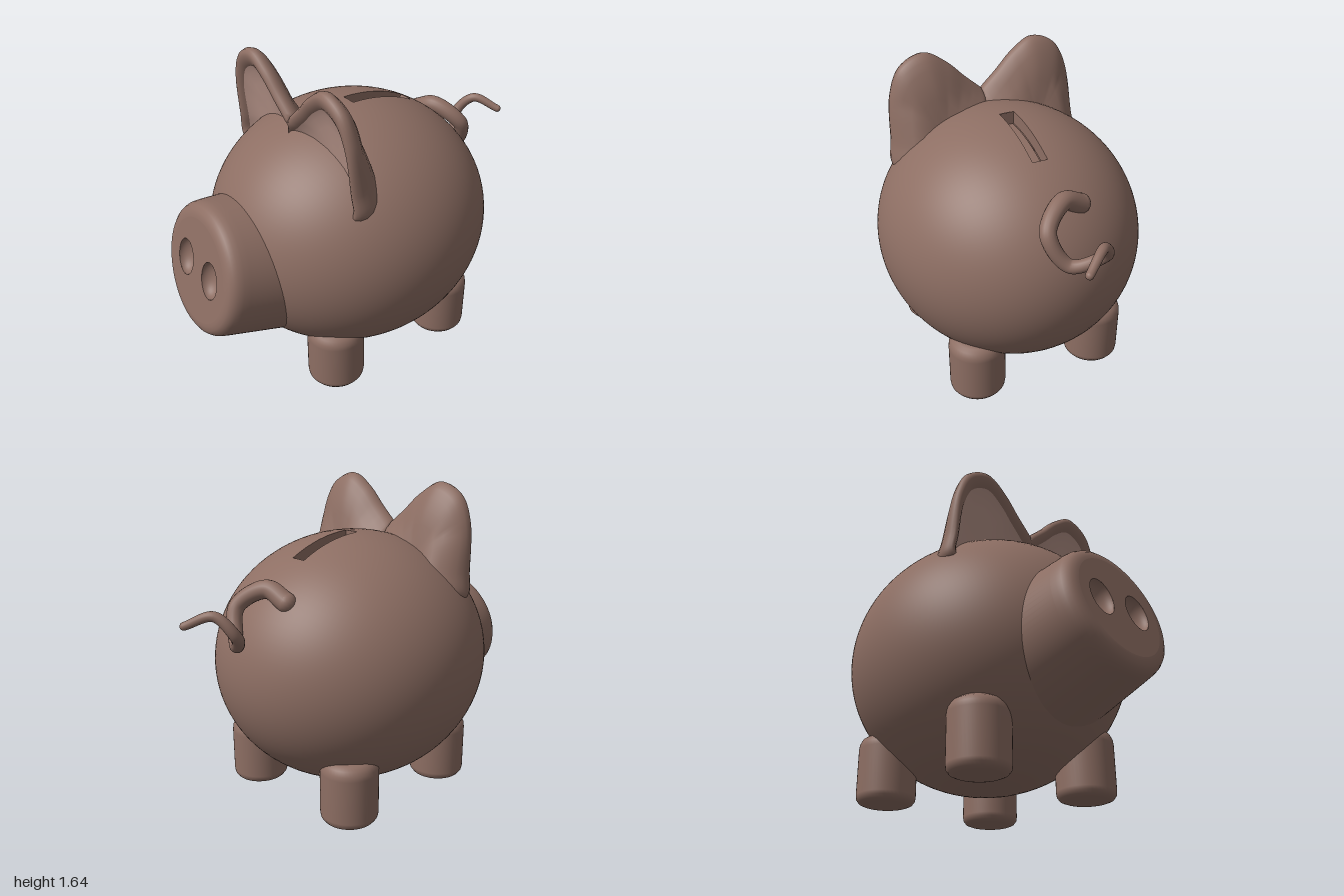
import * as THREE from 'three';

const V3 = (x, y, z) => new THREE.Vector3(x, y, z);
const profile = (pairs) => pairs.map(([x, y]) => new THREE.Vector2(x, y));

// Surface through rows of points, optionally closed along each row
function skinRows(rows, closed) {
  const n = rows[0].length, pos = [], idx = [];
  rows.forEach((row) => row.forEach((p) => pos.push(p.x, p.y, p.z)));
  for (let i = 0; i < rows.length - 1; i++) {
    for (let j = 0; j < (closed ? n : n - 1); j++) {
      const k = (j + 1) % n;
      const a = i * n + j, b = a + n, c = i * n + k, d = c + n;
      idx.push(a, c, b, b, c, d);
    }
  }
  const g = new THREE.BufferGeometry();
  g.setAttribute('position', new THREE.Float32BufferAttribute(pos, 3));
  g.setIndex(idx);
  g.computeVertexNormals();
  return g;
}

export function createModel() {
  const model = new THREE.Group();
  const skin = new THREE.MeshStandardMaterial({ color: 0x8d6e63, side: THREE.DoubleSide });
  skin.name = 'brown skin';
  const pink = new THREE.MeshStandardMaterial({ color: 0xb8958a, side: THREE.DoubleSide });
  pink.name = 'inner ear pink';

  const add = (parent, name, geometry, material = skin) => {
    const mesh = new THREE.Mesh(geometry, material);
    mesh.name = name;
    parent.add(mesh);
    return mesh;
  };
  const group = (name, parent = model) => {
    const g = new THREE.Group();
    g.name = name;
    parent.add(g);
    return g;
  };

  // Body: ellipsoid with its poles on x, leaving an opening for the coin slot
  const R = V3(0.7, 0.67, 0.76), C = V3(0, 0.72, 0.03);
  const slotHalf = Math.asin(0.04 / 0.7), slotArc = Math.PI / 6;
  const patch = (w, h, phi, phiLen, theta, thetaLen, s = 1) =>
    new THREE.SphereGeometry(s, w, h, phi, phiLen, theta, thetaLen)
      .rotateZ(-Math.PI / 2).scale(R.x, R.y, R.z).translate(C.x, C.y, C.z);
  const body = group('body');
  const capLen = Math.PI / 2 - slotHalf, TAU = Math.PI * 2;
  add(body, 'bodyLeft', patch(96, 32, 0, TAU, 0, capLen));
  add(body, 'bodyRight', patch(96, 32, 0, TAU, Math.PI - capLen, capLen));
  add(body, 'bodyMiddle', patch(88, 2, 0, TAU - slotArc, capLen, slotHalf * 2));

  // Coin slot: curved floor and four walls
  const slot = group('coinSlot');
  const depth = 0.9;
  add(slot, 'slotFloor', patch(8, 2, -slotArc, slotArc, capLen, slotHalf * 2, depth));
  const at = (side, phi, s) => {
    const t = Math.PI / 2 - side * slotHalf;
    return V3(0.04 * side, Math.cos(phi) * Math.sin(t) * s, Math.sin(phi) * Math.sin(t) * s)
      .multiply(V3(1, R.y, R.z)).add(C);
  };
  for (const side of [1, -1]) {
    const edge = (s) => Array.from({ length: 9 }, (_, i) => at(side, -slotArc * i / 8, s));
    add(slot, 'slotSideWall', skinRows([edge(1), edge(depth)], false));
  }
  for (const phi of [0, -slotArc]) {
    const edge = (s) => [at(1, phi, s), at(-1, phi, s)];
    add(slot, 'slotEndWall', skinRows([edge(1), edge(depth)], false));
  }

  // Snout: tapered barrel tilted upward, local y points forward
  const snout = group('snout');
  snout.position.set(0, 0.73, 0.942);
  snout.rotation.x = Math.PI / 2 - 0.213;
  add(snout, 'snoutBarrel', new THREE.LatheGeometry(profile([
    [0.4, -0.6], [0.345, -0.1], [0.341, -0.068], [0.335, -0.042], [0.322, -0.02],
    [0.303, -0.006], [0.28, -0.001], [0.265, 0],
  ]), 80));
  const disc = new THREE.Shape().absarc(0, 0, 0.265, 0, TAU, false);
  for (const side of [1, -1]) {
    disc.holes.push(new THREE.Path().absellipse(0.122 * side, 0.01, 0.075, 0.097, 0, TAU, true));
    add(snout, 'nostril', new THREE.SphereGeometry(1, 40, 14, 0, TAU, Math.PI / 2, Math.PI / 2)
      .scale(0.075, 0.06, 0.097).translate(0.122 * side, 0, -0.01));
  }
  add(snout, 'snoutFace', new THREE.ShapeGeometry(disc, 40).rotateX(-Math.PI / 2));

  // Legs: rounded stubby cylinders
  const legGeometry = new THREE.LatheGeometry(profile([
    [0, 0], [0.1, 0], [0.115, 0.002], [0.135, 0.01], [0.147, 0.026], [0.15, 0.045], [0.15, 0.28],
    [0.147, 0.305], [0.135, 0.33], [0.115, 0.345], [0.09, 0.35], [0, 0.35],
  ]), 48);
  for (const [name, z] of [['frontLeg', 0.37], ['backLeg', -0.35]]) {
    for (const side of [1, -1]) {
      add(model, name, legGeometry).position.set(0.35 * side, 0, z);
    }
  }

  // Ears: rounded outline shrunk toward a centre, bulging back and hollow in front
  const outline = new THREE.CatmullRomCurve3([
    [0.535, 1.075], [0.528, 1.2], [0.505, 1.45], [0.44, 1.585], [0.31, 1.64], [0.19, 1.575],
    [0.09, 1.48], [0, 1.4], [-0.1, 1.3], [-0.1, 1.1], [0.2, 1.0], [0.46, 1.03],
  ].map(([x, y]) => V3(x, y, 0)), true).getPoints(96).slice(0, -1);
  const earRows = (steps) => steps.map(([s, dz]) => outline.map((p) => {
    const x = 0.27 + (p.x - 0.27) * s, y = 1.22 + (p.y - 1.22) * s;
    const thick = 1 + 0.6 * THREE.MathUtils.clamp((1.4 - y) / 0.3, 0, 1);
    return V3(Math.max(x, 0), y, 0.37 + 0.075 * (y - 1.1) + dz * thick);
  }));
  const shell = skinRows(earRows([
    [0.01, -0.135], [0.25, -0.142], [0.5, -0.148], [0.67, -0.13], [0.82, -0.105], [0.92, -0.082],
    [0.98, -0.058], [1, -0.035], [0.985, -0.015], [0.95, -0.003], [0.91, 0], [0.86, -0.003],
    [0.81, -0.012], [0.78, -0.022],
  ]), true);
  const hollow = skinRows(earRows([
    [0.78, -0.022], [0.7, -0.036], [0.55, -0.05], [0.3, -0.058], [0.01, -0.06],
  ]), true);
  for (const [name, side] of [['leftEar', 1], ['rightEar', -1]]) {
    const ear = group(name);
    ear.scale.x = side;
    add(ear, 'earShell', shell);
    add(ear, 'innerEar', hollow, pink);
  }

  // Tail: tapered corkscrew with rounded ends
  const tail = group('tail');
  const path = new THREE.CatmullRomCurve3([
    V3(-0.12, 1.14, -0.54), V3(-0.01, 1.19, -0.565), V3(0.11, 1.1, -0.655), V3(0.03, 0.945, -0.73),
    V3(-0.1, 1.03, -0.825), V3(-0.035, 1.13, -0.895), V3(0.08, 1.08, -0.98),
  ]);
  const N = 90, M = 18;
  const radius = (t) => 0.05 - 0.03 * t;
  const tube = new THREE.TubeGeometry(path, N, 1, M, false);
  const tp = tube.attributes.position, v = V3(0, 0, 0);
  for (let i = 0; i < tp.count; i++) {
    const t = Math.floor(i / (M + 1)) / N, c = path.getPointAt(t);
    v.fromBufferAttribute(tp, i).sub(c).multiplyScalar(radius(t)).add(c);
    tp.setXYZ(i, v.x, v.y, v.z);
  }
  add(tail, 'tailCurl', tube);
  for (const t of [0, 1]) {
    add(tail, 'tailEnd', new THREE.SphereGeometry(radius(t), 18, 12)).position.copy(path.getPointAt(t));
  }

  return model;
}
